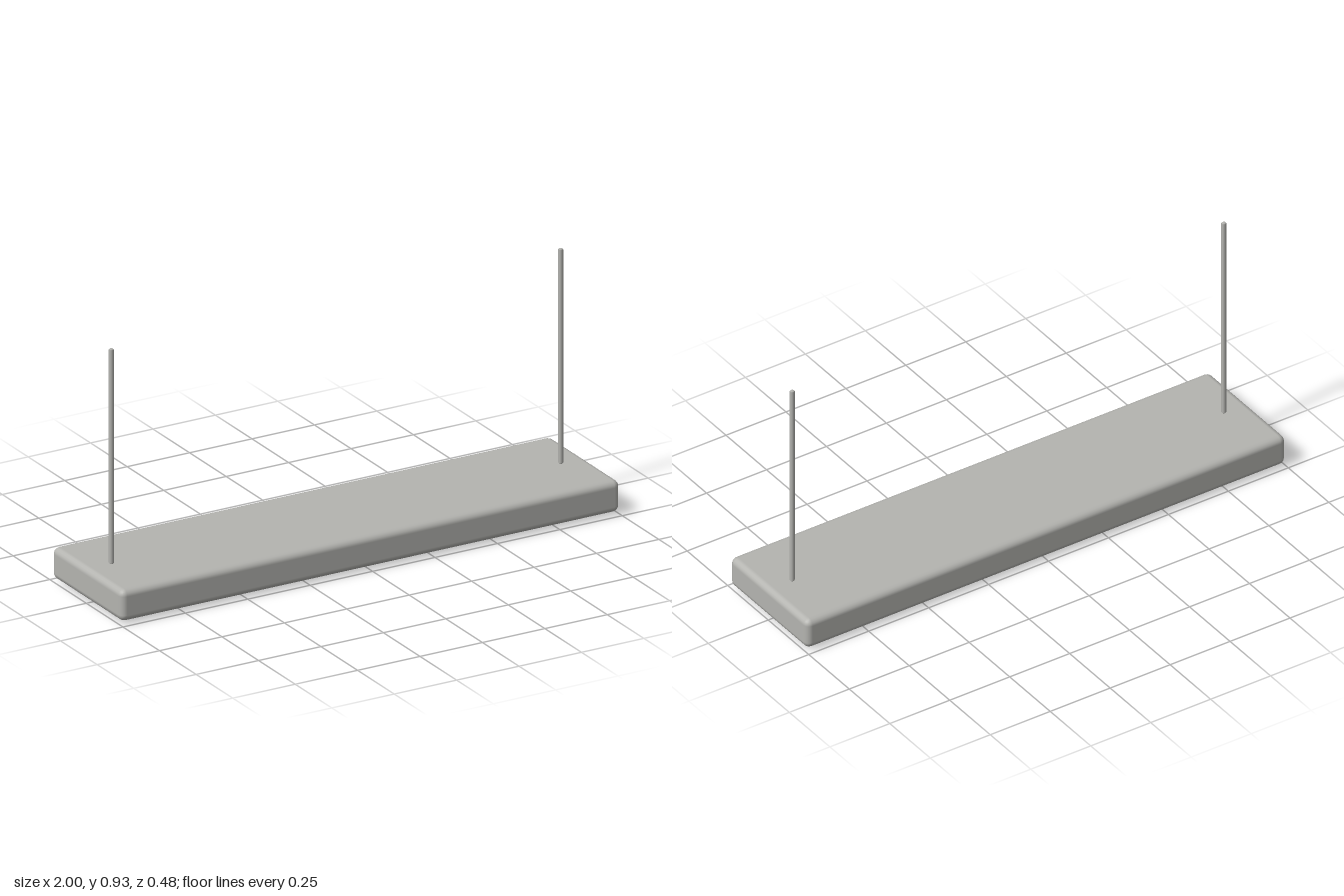
import * as THREE from 'three';
import { RoundedBoxGeometry } from 'three/addons/geometries/RoundedBoxGeometry.js';

export function createModel() {
  const model = new THREE.Group();
  model.name = 'pendantLight';

  const metal = new THREE.MeshStandardMaterial({ color: 0xb4b4b0 });
  metal.name = 'satin grey metal';
  const glow = new THREE.MeshStandardMaterial({ color: 0xdfd3c3 });
  glow.name = 'warm white diffuser';

  const add = (name, geometry, material, x, y, z) => {
    const mesh = new THREE.Mesh(geometry, material);
    mesh.name = name;
    mesh.position.set(x, y, z);
    model.add(mesh);
  };

  // Long housing with softly rounded edges
  add('housing', new RoundedBoxGeometry(2, 0.118, 0.48, 2, 0.024), metal, 0, 0.069, 0);

  // Light panel standing slightly proud of the underside
  add('diffuser', new THREE.BoxGeometry(1.88, 0.02, 0.384), glow, 0, 0.01, 0);

  // Slim suspension rods with small bevelled ends
  const r = 0.009, length = 0.802, bevel = 0.003;
  const profile = [
    [0, 0], [r - bevel, 0], [r, bevel],
    [r, length - bevel], [r - bevel, length], [0, length],
  ].map(([x, y]) => new THREE.Vector2(x, y));
  const rod = new THREE.LatheGeometry(profile, 12);
  for (const side of [-1, 1]) {
    add(side > 0 ? 'leftRod' : 'rightRod', rod, metal, side * 0.9, 0.128, 0);
  }

  return model;
}
